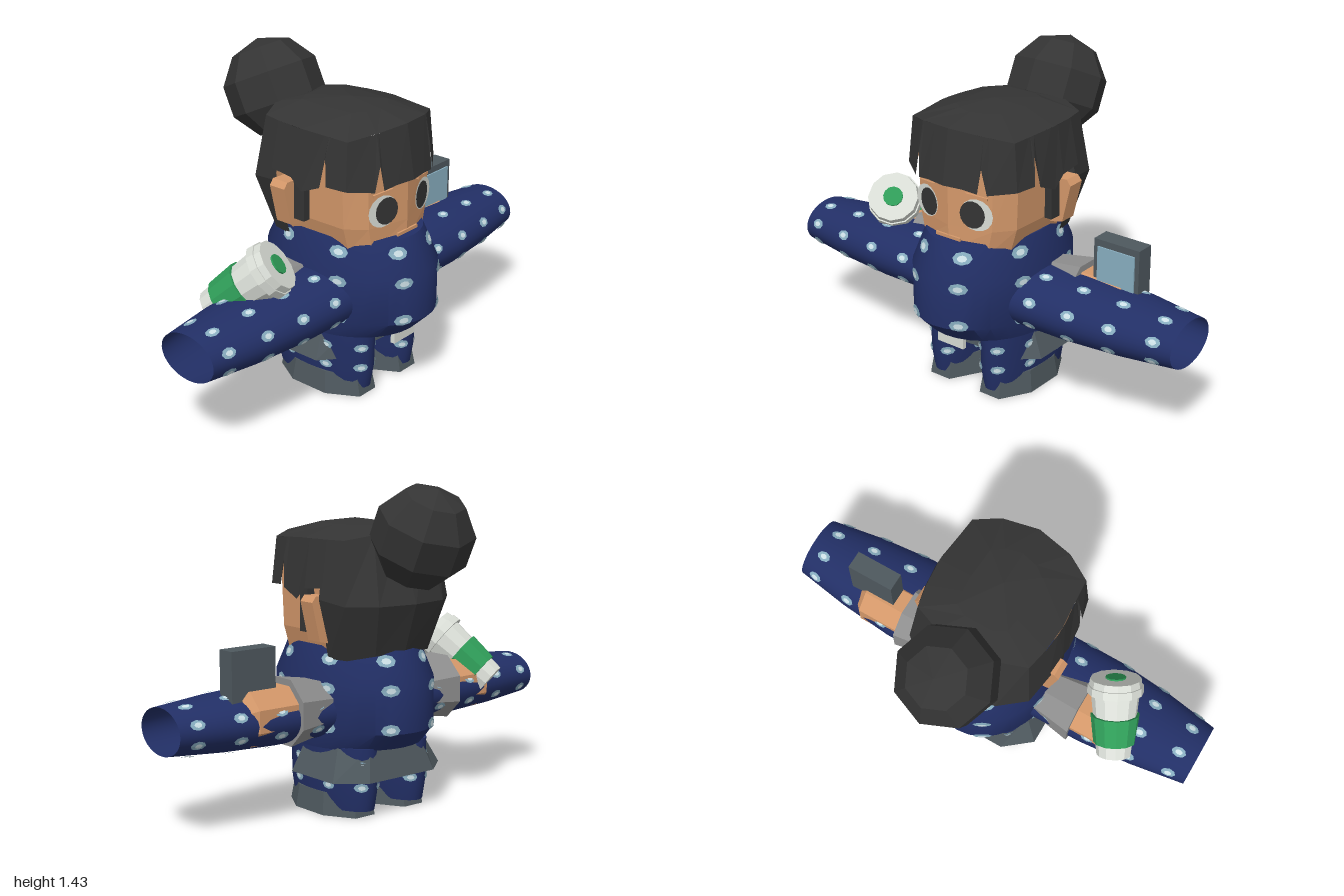
import * as THREE from 'three';
import { toCreasedNormals } from 'three/addons/utils/BufferGeometryUtils.js';

const mat = (name, color, side = THREE.FrontSide) => {
  const m = new THREE.MeshStandardMaterial({ color, side });
  m.name = name;
  return m;
};

export function createModel() {
  const D = THREE.DoubleSide;
  const skin = mat('skin', 0xd4986a), hair = mat('hair', 0x343434, D), navy = mat('navyCloth', 0x222f66, D);
  const slate = mat('slate', 0x4e585e, D), grey = mat('cuffGrey', 0x8e8e8e, D), white = mat('white', 0xd9ddd6);
  const green = mat('green', 0x2f9c58), pale = mat('paleBlue', 0x88aec0), light = mat('spotCentre', 0xcfe2e8);

  const root = new THREE.Group();
  const add = (name, geo, material, pos = [0, 0, 0], parent = root) => {
    const mesh = new THREE.Mesh(geo, material);
    mesh.name = name;
    mesh.position.set(...pos);
    parent.add(mesh);
    return mesh;
  };
  const flat = (g) => {
    const f = g.index ? g.toNonIndexed() : g;
    f.computeVertexNormals();
    return f;
  };
  const box = (w, h, d) => new THREE.BoxGeometry(w, h, d);

  // Surface through rows of points, listed bottom to top, each counter-clockwise from above
  const grid = (rows, closed) => {
    const n = rows[0].length, index = [];
    for (let i = 0; i < rows.length - 1; i++)
      for (let j = 0; j < (closed ? n : n - 1); j++) {
        const k = (j + 1) % n, a = i * n + j, b = i * n + k;
        index.push(a, b, b + n, a, b + n, a + n);
      }
    const g = new THREE.BufferGeometry();
    g.setAttribute('position', new THREE.Float32BufferAttribute(rows.flat(2), 3));
    g.setIndex(index);
    return flat(g);
  };
  const flip = ([x, y, z]) => [-x, y, z];
  // Full ring from a half outline running front centre to back centre
  const ring = (h) => [...h, ...h.slice(1, -1).reverse().map(flip)];

  // Cloth tube with elliptical sections [t, rx, rz], plus two-tone spots on its surface
  const cloth = (name, profile, cx, cz, parent, caps, spots) => {
    const at = (a, [t, rx, rz], off = 0) => [cx + (rx + off) * Math.sin(a), t, cz + (rz + off) * Math.cos(a)];
    const section = (t) => {
      let i = 0;
      while (i < profile.length - 2 && t > profile[i + 1][0]) i++;
      const p = profile[i], q = profile[i + 1], k = (t - p[0]) / (q[0] - p[0]);
      return [t, p[1] + (q[1] - p[1]) * k, p[2] + (q[2] - p[2]) * k];
    };
    const rings = caps ? [[profile[0][0], 0, 0], ...profile, [profile.at(-1)[0], 0, 0]] : profile;
    const n = 32;
    const rows = rings.map((p) => Array.from({ length: n }, (_, j) => at((j / n) * Math.PI * 2, p)));
    add(name, toCreasedNormals(grid(rows, true), 0.6), navy, [0, 0, 0], parent);
    for (const [size, off, material, label] of [[1, 0.005, pale, 'SpotRims'], [0.5, 0.008, light, 'SpotCentres']]) {
      const pts = [];
      for (const t0 of spots.rows)
        for (let c = 0; c < 8; c++) {
          const a0 = ((c + 0.5) * Math.PI) / 4, s = section(t0);
          const speed = Math.hypot(s[1] * Math.cos(a0), s[2] * Math.sin(a0));
          const edge = (k) => {
            const w = (k / 8) * Math.PI * 2;
            return at(a0 + (size * spots.w * Math.cos(w)) / speed, section(t0 + size * spots.h * Math.sin(w)), off);
          };
          for (let k = 0; k < 8; k++) pts.push(at(a0, s, off), edge(k), edge(k + 1));
        }
      const g = new THREE.BufferGeometry();
      g.setAttribute('position', new THREE.Float32BufferAttribute(pts.flat(), 3));
      add(name + label, flat(g), material, [0, 0, 0], parent);
    }
  };

  // Robe body
  cloth('robeBody', [[0.3, 0.285, 0.33], [0.38, 0.3, 0.41], [0.59, 0.3, 0.41], [0.74, 0.25, 0.335]],
    0, 0.13, root, true, { rows: [0.4, 0.57, 0.69], w: 0.042, h: 0.026 });

  for (const s of [1, -1]) {
    const side = s > 0 ? 'left' : 'right';

    // Open sleeve, with cuff and hand poking through its back
    const sleeve = new THREE.Group();
    sleeve.name = side + 'Sleeve';
    sleeve.position.y = 0.46;
    sleeve.rotation.z = (-s * Math.PI) / 2;
    root.add(sleeve);
    cloth(side + 'SleeveCloth', [[0.2, 0.132, 0.21], [0.5, 0.13, 0.208], [0.75, 0.12, 0.185], [1, 0.1, 0.145]],
      0, 0.14, sleeve, false, { rows: [0.35, 0.54, 0.73, 0.92], w: 0.022, h: 0.033 });
    const limb = (name, r0, r1, len, x, m, open) => {
      const g = new THREE.CylinderGeometry(r1, r0, len, 8, 1, open).rotateY(Math.PI / 8);
      add(side + name, flat(g), m, [0.02 * s, x, 0.06], sleeve).position.x = -0.02 * s;
    };
    limb('Cuff', 0.12, 0.155, 0.2, 0.35, grey, false);
    limb('Hand', 0.125, 0.125, 0.2, 0.55, skin, false);
    limb('Fingertips', 0.125, 0.09, 0.03, 0.665, skin, false);

    // Trouser leg and shoe
    cloth(side + 'Leg', [[0.03, 0.105, 0.245], [0.12, 0.118, 0.26], [0.31, 0.12, 0.265]],
      s * 0.14, 0.1, root, true, { rows: [0.14, 0.235], w: 0.032, h: 0.02 });
    const shoe = new THREE.CylinderGeometry(0.9, 1, 1, 8).rotateY(Math.PI / 8).scale(0.139, 0.1, 0.247);
    add(side + 'Shoe', flat(shoe), slate, [s * 0.14, 0.05, 0.115]);

    // Ear
    const ear = new THREE.Shape([[0.22, 0.75], [0.31, 0.77], [0.35, 0.94], [0.33, 0.965], [0.22, 0.96]]
      .map(([x, y]) => new THREE.Vector2(x * s, y)));
    add(side + 'Ear', new THREE.ExtrudeGeometry(ear, { depth: 0.08, bevelEnabled: false }), skin, [0, 0, -0.02]);

    // Eye, pupil and brow follow the slanted front of the face
    const face = new THREE.Group();
    face.name = side + 'EyeGroup';
    face.position.set(s * 0.13, 0.87, 0.4);
    face.rotation.y = s * Math.atan(0.25);
    root.add(face);
    const disc = (w, h) => new THREE.CircleGeometry(1, 16).scale(w, h, 1);
    add(side + 'EyeWhite', disc(0.074, 0.07), white, [0, 0, 0.006], face);
    add(side + 'Pupil', disc(0.057, 0.06), hair, [-s * 0.017, 0, 0.01], face);
    add(side + 'Brow', box(0.1, 0.012, 0.009), skin, [0, 0.08, 0.004], face).rotation.z = -s * 0.1;

    // Sideburn
    add(side + 'Sideburn', box(0.035, 0.26, 0.055), hair, [s * 0.285, 0.93, 0.098]);
  }

  // Coat hem, showing outside the legs
  const hem = (y, x, f, b) => ring([[0, y, f - 0.02], [x * 0.62, y, f], [x, y, f - 0.1], [x, y, b + 0.1], [x * 0.6, y, b], [0, y, b]]);
  add('coatHem', grid([hem(0.17, 0.305, 0.29, -0.195), hem(0.31, 0.24, 0.27, -0.15)], true), slate);
  add('sashEnd', box(0.14, 0.1, 0.02), white, [0, 0.29, 0.42]);

  // Head
  const skull = (y, k) => ring([[0, y, 0.43], [0.2 * k, y, 0.38], [0.27 * k, y, 0.3], [0.275 * k, y, 0], [0.2 * k, y, -0.13], [0, y, -0.15]]);
  add('head', grid([skull(0.69, 0.83), skull(0.8, 0.95), skull(1.12, 1)], true), skin);
  add('mouth', box(0.13, 0.014, 0.009), skin, [0, 0.75, 0.43]);

  // Crown of hair
  const crown = [[0, 1.22, 0.42], [0.16, 1.21, 0.39], [0.27, 1.19, 0.33], [0.29, 1.2, 0.1], [0.28, 1.2, -0.02],
    [0.26, 1.2, -0.12], [0.14, 1.22, -0.17], [0, 1.22, -0.17]];
  const inner = crown.map(([x, y, z]) => [x * 0.45, 1.25, 0.07 + (z - 0.07) * 0.6]);
  add('hairCrown', grid([ring(crown), ring(inner), ring(crown.map(() => [0, 1.27, 0.12]))], true), hair);

  // Jagged fringe: top point, then bottom point
  const fringe = [
    [0, 1.22, 0.42, 0, 0.985, 0.46], [0.08, 1.215, 0.405, 0.09, 0.985, 0.445], [0.15, 1.21, 0.392, 0.155, 0.975, 0.43],
    [0.16, 1.21, 0.39, 0.165, 1.08, 0.415], [0.18, 1.206, 0.38, 0.19, 0.97, 0.41], [0.27, 1.19, 0.33, 0.29, 0.985, 0.34],
    [0.277, 1.193, 0.25, 0.31, 0.99, 0.25], [0.278, 1.194, 0.24, 0.3, 1.11, 0.24], [0.28, 1.195, 0.22, 0.315, 0.98, 0.22],
    [0.29, 1.2, 0.12, 0.32, 0.94, 0.125], [0.29, 1.2, 0.07, 0.32, 0.99, 0.07], [0.28, 1.2, -0.03, 0.315, 1, -0.04],
  ];
  const strip = (i) => {
    const h = fringe.map((p) => p.slice(i, i + 3));
    return [...h.slice(1).reverse().map(flip), ...h];
  };
  add('fringe', grid([strip(3), strip(0)], false), hair);

  // Hair at the back, from side to side
  const back = [
    [[0.25, 0.69, 0], [0.23, 0.69, -0.1], [0.14, 0.71, -0.18], [0, 0.72, -0.21]],
    [[0.315, 0.95, -0.02], [0.29, 0.93, -0.16], [0.18, 0.93, -0.25], [0, 0.93, -0.28]],
    [[0.28, 1.2, -0.02], [0.26, 1.2, -0.12], [0.14, 1.22, -0.17], [0, 1.22, -0.17]],
  ].map((h) => [...h, ...h.slice(0, -1).reverse().map(flip)]);
  add('backHair', grid(back, false), hair);
  const bun = add('hairBun', flat(new THREE.SphereGeometry(0.222, 8, 5)), hair, [0, 1.215, -0.315]);
  bun.rotation.x = -0.45;

  // Handheld tablet
  add('tablet', box(0.22, 0.36, 0.085), slate, [0.62, 0.59, 0.067]);
  add('tabletScreen', box(0.18, 0.3, 0.008), pale, [0.62, 0.59, 0.112]);

  // Tilted drinking cup
  const cup = new THREE.Group();
  cup.name = 'cup';
  cup.position.set(-0.674, 0.487, -0.05);
  cup.quaternion.setFromUnitVectors(new THREE.Vector3(0, 1, 0), new THREE.Vector3(0.4, 0.62, 0.67).normalize());
  root.add(cup);
  const part = (name, r0, r1, y0, y1, m) =>
    add(name, flat(new THREE.CylinderGeometry(r1, r0, y1 - y0, 12)), m, [0, (y0 + y1) / 2, 0], cup);
  part('cupBody', 0.078, 0.108, 0, 0.3, white);
  part('cupBand', 0.094, 0.108, 0.06, 0.19, green);
  part('cupLidRim', 0.124, 0.122, 0.29, 0.325, white);
  part('cupLidTop', 0.116, 0.112, 0.325, 0.355, white);
  part('lidBadge', 0.045, 0.045, 0.355, 0.362, green);

  return root;
}
